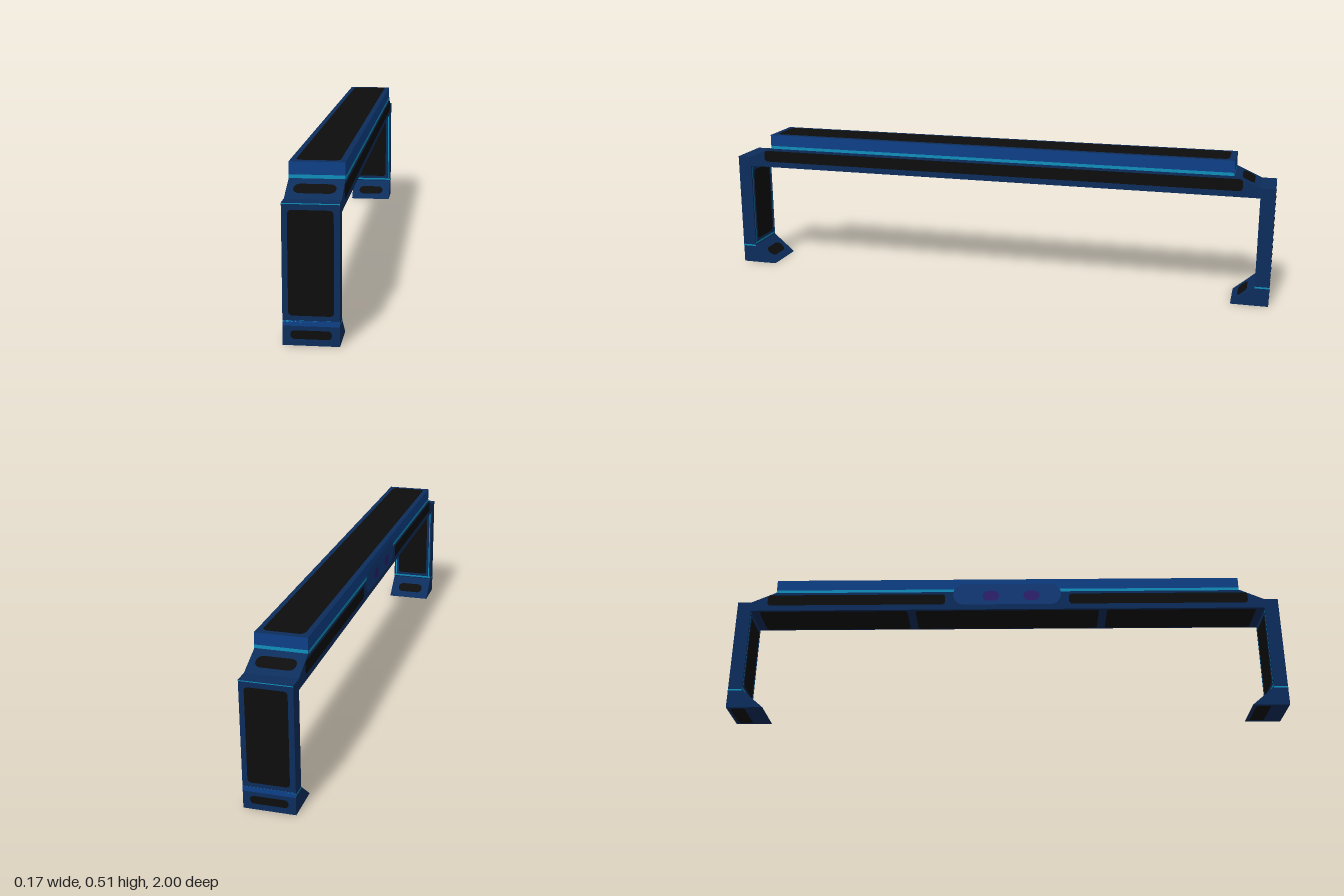
import * as THREE from 'three';

const HALF = 0.083; // half width of the whole piece

const paint = (name, color, side = THREE.FrontSide) =>
  Object.assign(new THREE.MeshStandardMaterial({ color, side }), { name });

export function createModel() {
  const navy = paint('navy', 0x0c2d5c);
  const blue = paint('blue', 0x0d4088);
  const cyan = paint('cyan', 0x108fbc);
  const black = paint('black', 0x0d0d0d);
  const deepBlue = paint('deepBlue', 0x123a78);
  const purple = paint('purple', 0x2c2070);

  const model = new THREE.Group();
  model.name = 'archBarrier';

  // Solid across the full width from a side profile of [z, y] points
  function prism(name, points, material) {
    const shape = new THREE.Shape(points.map(([z, y]) => new THREE.Vector2(z, y)));
    const geo = new THREE.ExtrudeGeometry(shape, { depth: HALF * 2, bevelEnabled: false });
    geo.rotateY(-Math.PI / 2).translate(HALF, 0, 0);
    const mesh = new THREE.Mesh(geo, material);
    mesh.name = name;
    model.add(mesh);
  }

  // Flat painted panel with rounded corners, lying just above a surface
  function panel(name, w, h, pos, normal, material = black, radius = 0.012, lift = 0.0012) {
    const r = Math.min(radius, w / 2, h / 2), x = w / 2, y = h / 2;
    const s = new THREE.Shape();
    if (r > 0) {
      s.absarc(x - r, y - r, r, 0, Math.PI / 2);
      s.absarc(-x + r, y - r, r, Math.PI / 2, Math.PI);
      s.absarc(-x + r, -y + r, r, Math.PI, Math.PI * 1.5);
      s.absarc(x - r, -y + r, r, Math.PI * 1.5, Math.PI * 2);
    } else {
      s.moveTo(-x, -y).lineTo(x, -y).lineTo(x, y).lineTo(-x, y);
    }
    const mesh = new THREE.Mesh(new THREE.ShapeGeometry(s, 4), material);
    const n = new THREE.Vector3(...normal).normalize();
    mesh.position.set(...pos).addScaledVector(n, lift);
    mesh.lookAt(mesh.position.clone().add(n));
    mesh.name = name;
    model.add(mesh);
  }
  const line = (name, w, h, pos, normal, material = cyan) =>
    panel(name, w, h, pos, normal, material, 0, 0.0008);

  // Crossbeam with sloping shoulders
  prism('beam', [[-0.95, 0.385], [0.95, 0.385], [0.95, 0.42], [0.86, 0.46],
    [-0.86, 0.46], [-0.95, 0.42]], navy);

  // Raised slab: blue sides, navy top
  const slab = new THREE.Mesh(new THREE.BoxGeometry(HALF * 2, 0.05, 1.72),
    [blue, blue, navy, navy, blue, blue]);
  slab.position.y = 0.485;
  slab.name = 'topSlab';
  model.add(slab);
  panel('topPanel', 0.132, 1.68, [0, 0.51, 0], [0, 1, 0], black, 0.02);

  // Underside panels, three in a row
  for (const [z, len] of [[-0.645, 0.55], [0, 0.68], [0.645, 0.55]])
    panel('undersidePanel', 0.15, len, [0, 0.385, z], [0, -1, 0]);

  // Long side panels and the glowing seam below the slab
  for (const s of [-1, 1])
    line('slabSeam', 1.72, 0.011, [s * HALF, 0.463, 0], [s, 0, 0]);
  panel('leftSidePanel', 1.78, 0.042, [HALF, 0.427, 0], [1, 0, 0]);
  for (const s of [-1, 1])
    panel('rightSidePanel', 0.66, 0.042, [-HALF, 0.427, s * 0.56], [-1, 0, 0]);

  // Coloured patch in the middle of the right side
  panel('sidePatch', 0.4, 0.085, [-HALF, 0.447, 0], [-1, 0, 0], deepBlue, 0.04, 0.002);
  for (const z of [-0.06, 0.09])
    panel('sidePatchSpot', 0.06, 0.04, [-HALF, 0.44, z], [-1, 0, 0], purple, 0.02, 0.003);

  // Both ends: leg, foot and their panels
  for (const e of [-1, 1]) {
    const out = [0, 0, e], inn = [0, 0, -e];
    const profile = [[0.87, 0], [1, 0], [1, 0.42], [0.95, 0.42], [0.95, 0.068]];
    const pts = profile.map(([z, y]) => [z * e, y]);
    prism('legAndFoot', e > 0 ? pts : pts.reverse(), navy);

    panel('legOuterPanel', 0.132, 0.31, [0, 0.245, e], out);
    panel('footOuterPanel', 0.12, 0.026, [0, 0.033, e], out);
    line('ankleBand', HALF * 2, 0.016, [0, 0.067, e], out, blue);
    for (const y of [0.062, 0.073])
      line('ankleLine', HALF * 2, 0.005, [0, y, e], out);
    line('legTopLine', HALF * 2, 0.003, [0, 0.418, e], out);

    panel('legInnerPanel', 0.126, 0.275, [0, 0.228, e * 0.95], inn);
    for (const s of [-1, 1]) {
      line('legInnerEdge', 0.004, 0.3, [s * 0.075, 0.23, e * 0.95], inn);
      line('ankleSideLine', 0.05, 0.006, [s * HALF, 0.067, e * 0.975], [s, 0, 0]);
    }
    line('ankleInnerLine', HALF * 2, 0.007, [0, 0.076, e * 0.95], inn);

    // Sloping foot face and sole
    panel('footSlopePanel', 0.105, 0.042, [0, 0.032, e * 0.9076], [0, 0.08, -e * 0.068], black, 0.02);
    panel('solePanel', 0.14, 0.105, [0, 0.0012, e * 0.937], [0, -1, 0], black, 0.015);

    // Shoulder slope and slab end
    panel('shoulderPanel', 0.124, 0.046, [0, 0.4395, e * 0.906], [0, 0.09, e * 0.04], black, 0.02);
    line('slabEndSeam', HALF * 2, 0.011, [0, 0.466, e * 0.86], out);
  }

  return model;
}
